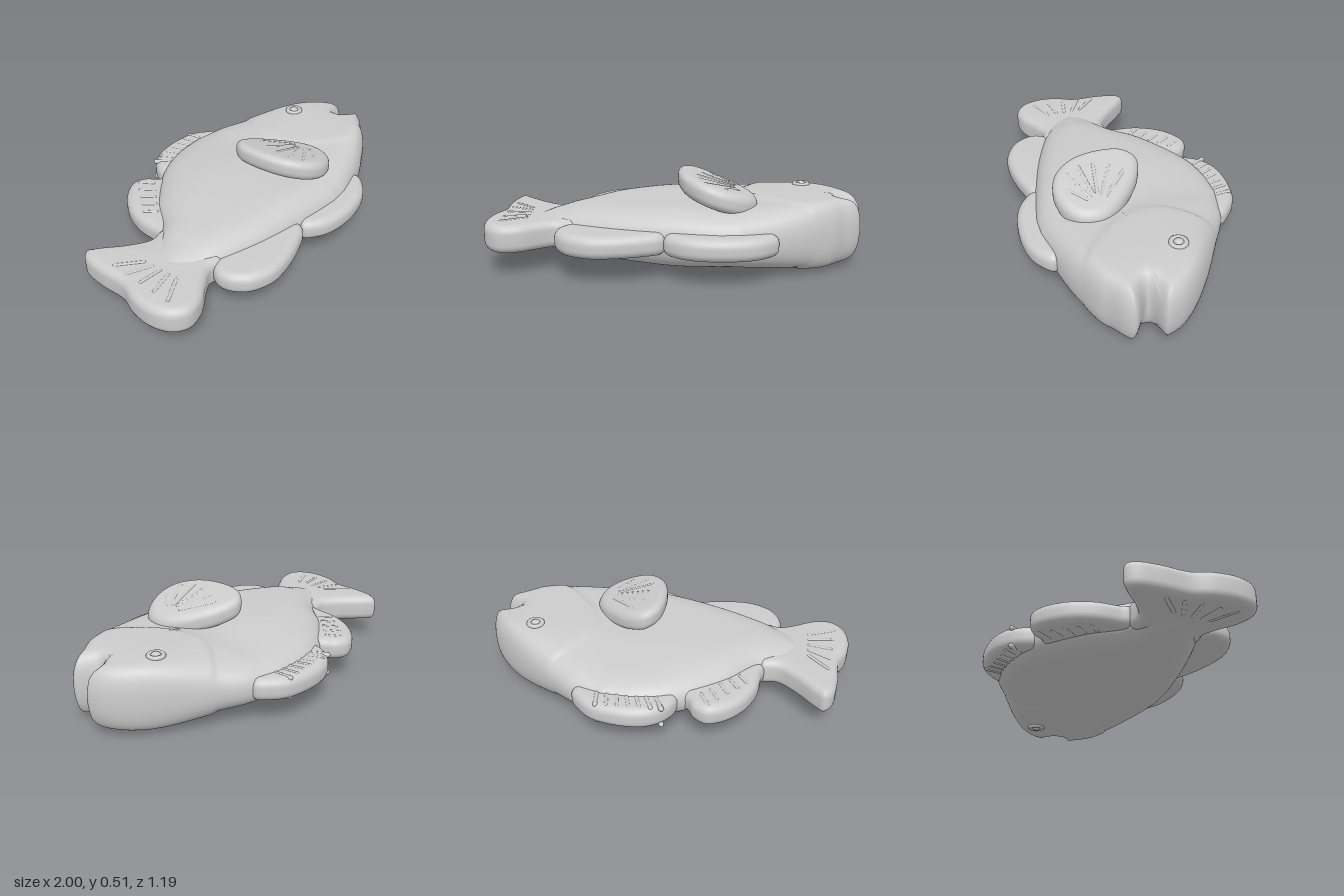
import * as THREE from 'three';
import { mergeVertices, toCreasedNormals } from 'three/addons/utils/BufferGeometryUtils.js';

const MID = 0.19; // height of the fish's own plane of symmetry
const mat = new THREE.MeshStandardMaterial({ color: 0xcccccc });
const { smoothstep, lerp } = THREE.MathUtils;
const vecs = (pts) => pts.map(([x, z]) => new THREE.Vector2(x, z));

function add(parent, name, geometry) {
  const mesh = new THREE.Mesh(geometry, mat);
  mesh.name = name;
  parent.add(mesh);
  return mesh;
}

// Value of a polyline of [value, key] pairs at a given key
function lookup(pts, key) {
  for (let i = 1; i < pts.length; i++) {
    const a = pts[i - 1], b = pts[i];
    if (key <= b.y) return lerp(a.x, b.x, THREE.MathUtils.clamp((key - a.y) / (b.y - a.y || 1), 0, 1));
  }
  return pts[pts.length - 1].x;
}

// Body outline as [x, z], from back (dorsal) to belly
const tailSide = new THREE.SplineCurve(vecs([[0.1, -0.5], [-0.05, -0.47], [-0.2, -0.4], [-0.38, -0.27],
  [-0.52, -0.12], [-0.72, -0.02], [-0.8, 0.1], [-0.72, 0.2], [-0.56, 0.28], [-0.3, 0.38], [0, 0.46],
  [0.2, 0.5]])).getPoints(150);
const headSide = new THREE.SplineCurve(vecs([[0.25, -0.5], [0.42, -0.445], [0.55, -0.365], [0.73, -0.25],
  [0.87, -0.14], [0.96, -0.04], [0.998, 0.05], [0.985, 0.08], [0.9, 0.1], [0.88, 0.125], [0.9, 0.15],
  [0.965, 0.2], [0.94, 0.25], [0.86, 0.3], [0.8, 0.345], [0.7, 0.39], [0.6, 0.43], [0.47, 0.465],
  [0.3, 0.5]])).getPoints(250);
const outline = [...tailSide, ...headSide.slice().reverse()];

// Half thickness along x, and the gill line as [x, z]
const thickness = new THREE.SplineCurve(vecs([[0.055, -0.82], [0.085, -0.7], [0.107, -0.6], [0.127, -0.5],
  [0.148, -0.2], [0.155, 0], [0.145, 0.25], [0.158, 0.4], [0.168, 0.7], [0.158, 0.88], [0.14, 1]])).getPoints(80);
const gill = new THREE.SplineCurve(vecs([[0.58, -0.36], [0.44, -0.2], [0.38, -0.05], [0.41, 0.1],
  [0.5, 0.22], [0.6, 0.31], [0.72, 0.4]])).getPoints(60);

function edgeDistance(x, z) {
  let best = 9;
  outline.forEach((a, i) => {
    const b = outline[(i + 1) % outline.length];
    const dx = b.x - a.x, dz = b.y - a.y;
    const t = THREE.MathUtils.clamp(((x - a.x) * dx + (z - a.y) * dz) / (dx * dx + dz * dz || 1), 0, 1);
    best = Math.min(best, (x - a.x - t * dx) ** 2 + (z - a.y - t * dz) ** 2);
  });
  return Math.sqrt(best);
}

function bodyHeight(x, z) {
  const radius = lerp(0.22, 0.09, smoothstep(x, 0.3, 0.85));
  const k = Math.min(edgeDistance(x, z) / radius, 1);
  const rounded = Math.pow(1 - (1 - k) ** 3, 0.45);
  const taper = 1 - 0.25 * (1 - smoothstep(z, -0.45, -0.05));
  const g = lookup(gill, z);
  const cover = 0.012 * smoothstep(x, g - 0.02, g + 0.025);
  return (lookup(thickness, x) * taper + cover) * rounded;
}

// Cushion surface: rows across z, columns from tail side to head side
function bodyGeometry(rows = 150, cols = 90) {
  const pos = [], index = [];
  const spread = (i, n) => 0.5 - 0.5 * Math.cos((Math.PI * i) / n);
  const grid = [];
  for (let j = 0; j <= rows; j++) {
    const z = lerp(-0.5, 0.5, spread(j, rows));
    const x0 = lookup(tailSide, z), x1 = lookup(headSide, z);
    for (let i = 0; i <= cols; i++) {
      const x = lerp(x0, x1, spread(i, cols));
      const rim = i === 0 || j === 0 || i === cols || j === rows;
      grid.push([x, z, rim ? 0 : bodyHeight(x, z)]);
    }
  }
  for (const side of [1, -1]) {
    const base = pos.length / 3;
    for (const [x, z, h] of grid) pos.push(x, MID + side * h, z);
    for (let j = 0; j < rows; j++) for (let i = 0; i < cols; i++) {
      const a = base + j * (cols + 1) + i, b = a + 1, c = a + cols + 1, d = c + 1;
      if (side > 0) index.push(a, c, b, b, c, d);
      else index.push(a, b, c, b, d, c);
    }
  }
  let geo = new THREE.BufferGeometry();
  geo.setAttribute('position', new THREE.Float32BufferAttribute(pos, 3));
  geo.setIndex(index);
  geo = mergeVertices(geo, 1e-5);
  geo.computeVertexNormals();
  return geo;
}

// Rounded slab with a smooth outline given as [x, z]
function finGeometry(pts, half, bevel) {
  const curve = new THREE.CatmullRomCurve3(pts.map(([x, z]) => new THREE.Vector3(x, z, 0)), true, 'centripetal');
  const shape = new THREE.Shape(curve.getPoints(90).slice(0, -1).map((p) => new THREE.Vector2(p.x, p.y)));
  const depth = 2 * (half - bevel);
  const geo = new THREE.ExtrudeGeometry(shape, { depth, steps: 1, bevelEnabled: true, bevelThickness: bevel,
    bevelSize: bevel, bevelOffset: -bevel, bevelSegments: 7 });
  geo.translate(0, 0, -depth / 2);
  geo.rotateX(Math.PI / 2);
  return toCreasedNormals(geo, 0.9);
}

// Soft raised fin ray between two points
function addRay(parent, a, b, radius = 0.014) {
  const ray = add(parent, 'finRay', new THREE.CapsuleGeometry(radius, a.distanceTo(b), 4, 8));
  ray.position.copy(a).lerp(b, 0.5);
  ray.quaternion.setFromUnitVectors(new THREE.Vector3(0, 1, 0), b.clone().sub(a).normalize());
}

export function createModel() {
  const fish = new THREE.Group();
  fish.name = 'fish';
  add(fish, 'body', bodyGeometry());

  // Flat fins lying in the middle plane; rays run [x, z] to [x, z]
  const fins = {
    frontDorsalFin: { half: 0.06, pts: [[0.41, -0.45], [0.36, -0.52], [0.28, -0.575], [0.1, -0.6], [-0.02, -0.575],
      [-0.1, -0.51], [-0.135, -0.425], [-0.08, -0.3], [0.3, -0.32]],
    rays: [0, 1, 2, 3, 4, 5, 6].map((i) => [[0.27 - i * 0.05, -0.47], [0.26 - i * 0.055, -0.555 + 0.003 * i]]) },
    rearDorsalFin: { half: 0.06, pts: [[-0.1, -0.38], [-0.18, -0.42], [-0.22, -0.48], [-0.29, -0.515], [-0.38, -0.48],
      [-0.47, -0.39], [-0.525, -0.27], [-0.54, -0.15], [-0.55, -0.09], [-0.4, 0.02], [-0.1, -0.25]],
    rays: [0, 1, 2, 3, 4].map((i) => [[-0.25 - i * 0.045, -0.4 + i * 0.045], [-0.29 - i * 0.045, -0.47 + i * 0.05]]) },
    analFin: { half: 0.058, pts: [[-0.6, 0.28], [-0.62, 0.36], [-0.57, 0.46], [-0.45, 0.525], [-0.33, 0.53],
      [-0.17, 0.5], [-0.07, 0.455], [-0.05, 0.32], [-0.4, 0.15]], rays: [] },
    pelvicFin: { half: 0.058, pts: [[-0.07, 0.455], [-0.02, 0.52], [0.06, 0.565], [0.2, 0.59], [0.36, 0.575],
      [0.45, 0.53], [0.5, 0.47], [0.4, 0.35], [0, 0.35]], rays: [] },
    tailFin: { half: 0.074, pts: [[-0.53, -0.1], [-0.62, -0.1], [-0.72, -0.17], [-0.82, -0.27], [-0.87, -0.305],
      [-0.91, -0.27], [-0.935, -0.15], [-0.942, 0], [-0.985, 0.1], [-1, 0.22], [-0.97, 0.32], [-0.9, 0.375],
      [-0.8, 0.365], [-0.7, 0.31], [-0.62, 0.275], [-0.53, 0.285], [-0.45, 0.1]],
    rays: [0, 1, 2, 3, 4].map((i) => [[-0.78, 0.0 + i * 0.05], [-0.88 - i * 0.008, -0.1 + i * 0.09]]) },
  };
  for (const [name, { half, pts, rays }] of Object.entries(fins)) {
    const group = new THREE.Group();
    group.name = name;
    add(group, name + 'Blade', finGeometry(pts, half, 0.045)).position.y = MID;
    for (const side of [1, -1]) for (const [a, b] of rays) {
      const y = MID + side * (half - 0.01);
      addRay(group, new THREE.Vector3(a[0], y, a[1]), new THREE.Vector3(b[0], y, b[1]));
    }
    fish.add(group);
  }

  // Single side fin, rising away from the upper flank
  const lift = (x) => 0.447 - (x - 0.03) * 0.3;
  const pectoral = new THREE.Group();
  pectoral.name = 'pectoralFin';
  const blade = finGeometry([[0.415, 0.2], [0.4, 0.3], [0.33, 0.37], [0.22, 0.4], [0.12, 0.37], [0.04, 0.27],
    [0.01, 0.12], [0.03, -0.02], [0.1, -0.08], [0.2, -0.05], [0.3, 0.03], [0.38, 0.12]], 0.058, 0.045);
  const p = blade.attributes.position;
  for (let i = 0; i < p.count; i++) p.setY(i, p.getY(i) + lift(p.getX(i)));
  add(pectoral, 'pectoralBlade', toCreasedNormals(blade, 0.9));
  for (let i = 0; i < 6; i++) {
    const a = 2.35 + i * 0.32;
    const at = (r) => {
      const x = 0.36 + r * Math.cos(a), z = 0.2 - r * Math.sin(a);
      return new THREE.Vector3(x, lift(x) + 0.047, z);
    };
    addRay(pectoral, at(0.07), at(i === 5 ? 0.17 : 0.25));
  }
  fish.add(pectoral);

  // Eyes: raised lid ring with a small ball, on both flanks
  const h = bodyHeight(0.7, -0.09);
  for (const side of [1, -1]) {
    const eye = new THREE.Group();
    eye.name = side > 0 ? 'upperEye' : 'lowerEye';
    eye.position.set(0.7, MID + side * h, -0.09);
    add(eye, 'eyelid', new THREE.TorusGeometry(0.036, 0.013, 10, 28).rotateX(Math.PI / 2));
    add(eye, 'eyeball', new THREE.SphereGeometry(0.026, 20, 14).scale(1, 0.75, 1));
  }
  for (const side of [1, -1]) {
    const eye = new THREE.Group();
    eye.name = side > 0 ? 'upperEye' : 'lowerEye';
    eye.position.set(0.7, MID + side * h, -0.09);
    add(eye, 'eyelid', new THREE.TorusGeometry(0.036, 0.013, 10, 28).rotateX(Math.PI / 2));
    add(eye, 'eyeball', new THREE.SphereGeometry(0.026, 20, 14).scale(1, 0.75, 1));
    fish.add(eye);
  }
  return fish;
}
